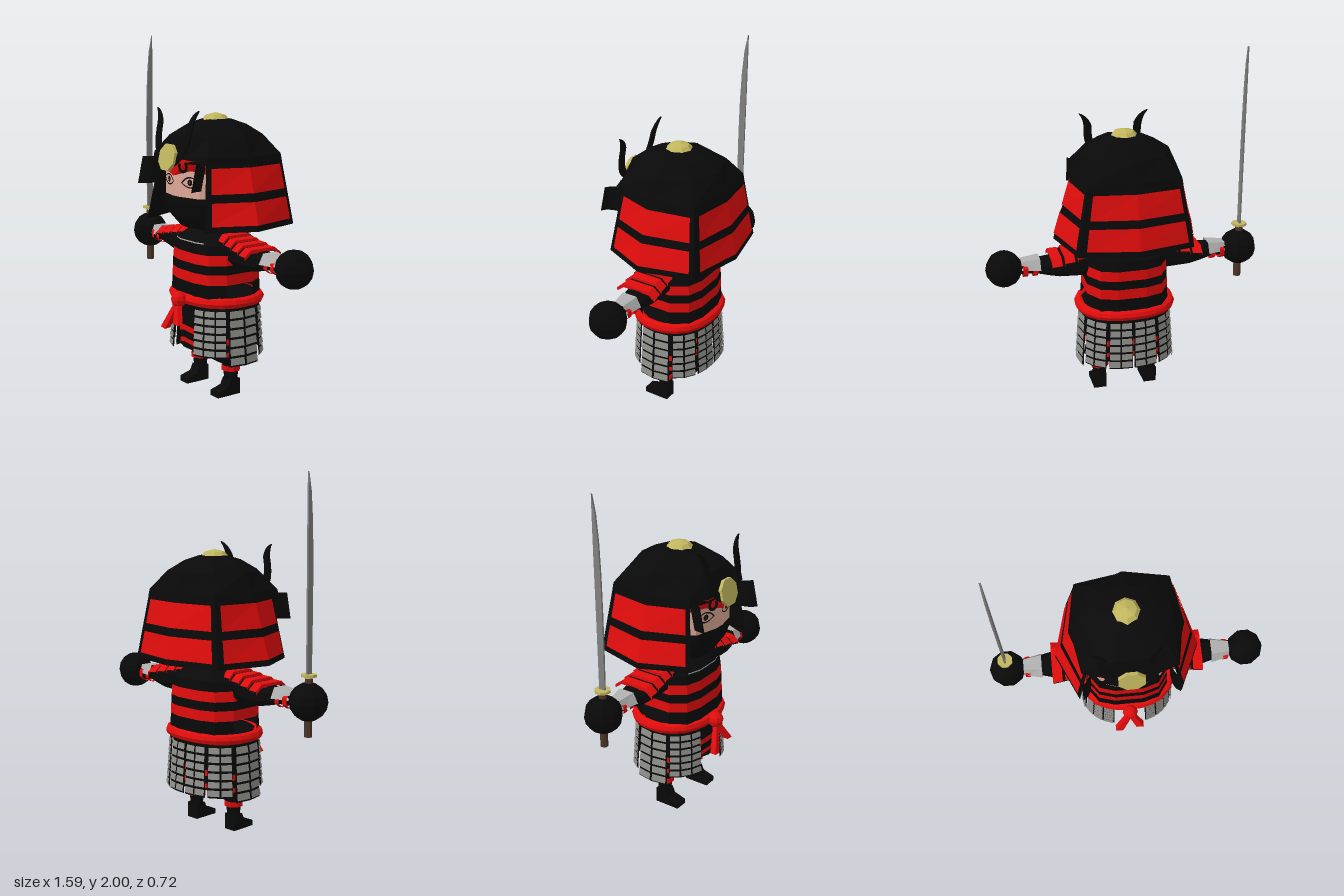
import * as THREE from 'three';
import { mergeGeometries } from 'three/addons/utils/BufferGeometryUtils.js';

const mat = (name, color) => new THREE.MeshStandardMaterial({ name, color, flatShading: true, side: THREE.DoubleSide });
const lerp = THREE.MathUtils.lerp;

// flat-faced skin between cross-sections of [x, y, z] points
function loft(rings, closed = false, skip = () => false) {
  const pos = [], n = rings[0].length;
  for (let r = 0; r < rings.length - 1; r++) {
    for (let i = 0; i < (closed ? n : n - 1); i++) {
      if (skip(r, i)) continue;
      const j = (i + 1) % n;
      const a = rings[r][i], b = rings[r][j], c = rings[r + 1][j], d = rings[r + 1][i];
      pos.push(...a, ...b, ...c, ...a, ...c, ...d);
    }
  }
  const g = new THREE.BufferGeometry();
  g.setAttribute('position', new THREE.Float32BufferAttribute(pos, 3));
  g.computeVertexNormals();
  return g;
}

// completes a front-to-back half outline [x, z] by mirroring
const outline = half => [...half, ...half.filter(p => p[0] > 0).reverse().map(([x, z]) => [-x, z])];
const ringAt = (pts, y, sx = 1, sz = sx) => pts.map(([x, z]) => [x * sx, y, z * sz]);

export function createModel() {
  const black = mat('black', 0x090909), red = mat('red', 0xe00c0c), steel = mat('plateSteel', 0x8c8c88);
  const silver = mat('armguardSilver', 0xb0b0b0), gold = mat('gold', 0xc2b65e), skin = mat('skin', 0xdda896);
  const blade = mat('bladeSteel', 0x808080), brown = mat('gripBrown', 0x4a3528);
  const model = new THREE.Group();
  const add = (name, geo, material, x = 0, y = 0, z = 0, parent = model) => {
    const m = new THREE.Mesh(geo, material);
    m.name = name;
    m.position.set(x, y, z);
    parent.add(m);
    return m;
  };
  const cyl = (rt, rb, h, n = 8) => new THREE.CylinderGeometry(rt, rb, h, n).rotateY(Math.PI / n);
  // side profile given as (z, y), extruded across x
  const sideExtrude = (shape, d) =>
    new THREE.ExtrudeGeometry(shape, { depth: d, bevelEnabled: false, curveSegments: 6 }).rotateY(-Math.PI / 2).translate(d / 2, 0, 0);

  // Cuirass: hollow bands, lowest one open at the sides
  const body = outline([[0.08, 0.207], [0.17, 0.18], [0.226, 0.1], [0.226, -0.07], [0.17, -0.16], [0.08, -0.19]]);
  const levels = [[0.55, 1.06], [0.652, 1.04], [0.71, 1.03], [0.76, 1.02], [0.817, 1], [0.87, 0.97], [0.935, 0.62]];
  for (let k = 0; k < levels.length - 1; k++) {
    const rings = [levels[k], levels[k + 1]].map(([y, s]) => ringAt(body, y, s));
    add('cuirassBand', loft(rings, true, (r, i) => k === 0 && (i === 2 || i === 8)), k === 1 || k === 3 ? red : black);
  }
  add('chestCord', loft([0.874, 0.881].map(y => [[-0.15, y, 0.174], [-0.075, y, 0.2], [0.075, y, 0.2], [0.13, y, 0.182]])), silver);
  add('neck', cyl(0.1, 0.14, 0.06), black, 0, 0.93, 0);

  // Belt with knot and tails
  const bulge = a => 1 + 0.05 * Math.sin(2 * a) ** 2;
  const loop = [];
  for (let i = 0; i < 16; i++) {
    const a = i / 16 * Math.PI * 2;
    loop.push(new THREE.Vector3(Math.sin(a) * 0.26 * bulge(a), 0.552, Math.cos(a) * 0.213 * bulge(a) + 0.007));
  }
  add('belt', new THREE.TubeGeometry(new THREE.CatmullRomCurve3(loop, true), 24, 0.03, 8, true), red);
  add('beltKnot', new THREE.SphereGeometry(0.046, 8, 6), red, 0, 0.553, 0.262);
  for (const [x, y] of [[-0.07, 0.385], [0.055, 0.43]]) {
    add('beltTail', loft([
      [[x - 0.022, y, 0.325], [x + 0.022, y - 0.005, 0.325], [x + 0.022, y, 0.29], [x - 0.022, y, 0.29]],
      [[-0.015, 0.54, 0.28], [0.015, 0.54, 0.28], [0.015, 0.54, 0.255], [-0.015, 0.54, 0.255]]], true), red);
  }

  // Skirt panels: black backing with rows of small overlapping plates
  const skirt = (deg, y, off = 0) => {
    const a = deg * Math.PI / 180, f = (0.53 - y) / 0.32, k = bulge(a);
    return [Math.sin(a) * (lerp(0.258, 0.28, f) * k + off), y, Math.cos(a) * (lerp(0.218, 0.237, f) * k + off) + 0.008];
  };
  function skirtPanel(t0, t1, cols, yLow) {
    const angles = Array.from({ length: cols + 1 }, (_, c) => lerp(t0, t1, c / cols));
    add('skirtBacking', loft([yLow - 0.005, 0.54].map(y => angles.map(a => skirt(a, y)))), black);
    const plates = [], rows = 6, h = (0.515 - yLow) / rows, gap = (t1 - t0) / cols * 0.07;
    for (let c = 0; c < cols; c++) for (let r = 0; r < rows; r++) {
      const y = yLow + r * h, a = angles[c] + gap, b = angles[c + 1] - gap;
      plates.push(loft([[y + 0.005, 0.002], [y + 0.007, 0.009], [y + h - 0.007, 0.005]].map(
        ([yy, o]) => [skirt(a, yy, o), skirt(b, yy, o)])));
    }
    add('skirtPlates', mergeGeometries(plates), steel);
  }
  for (const s of [1, -1]) {
    for (const [a, b, n, y] of [[20, 63, 3, 0.25], [66, 113, 2, 0.2], [117, 148, 2, 0.23], [151, 179, 2, 0.23]]) {
      if (s > 0) skirtPanel(a, b, n, y);
      else skirtPanel(-b, -a, n, y);
    }
  }

  // Legs: full trousers with chevron bands, thin calves and feet
  add('hips', cyl(0.252, 0.23, 0.1, 12).scale(1, 1, 0.82), black, 0, 0.53, 0.007);
  add('loincloth', new THREE.BoxGeometry(0.12, 0.27, 0.2), black, 0, 0.37, 0.01);
  const foot = new THREE.Shape([[-0.022, 0], [0.13, 0], [0.13, 0.03], [0.06, 0.05], [0.042, 0.09], [-0.022, 0.09]].map(p => new THREE.Vector2(...p)));
  const thigh = [[0, 0.14], [0.085, 0.11], [0.115, 0], [0.085, -0.11], [0, -0.14], [-0.085, -0.11], [-0.11, 0], [-0.085, 0.11]];
  const chevron = (y, k) => thigh.map(([x, z], i) => [x * k, y + (i % 4 === 0 ? 0.025 : 0), z * k]);
  for (const s of [1, -1]) {
    const leg = new THREE.Group();
    leg.name = s > 0 ? 'leftLeg' : 'rightLeg';
    model.add(leg);
    add('trouser', loft([ringAt(thigh, 0.225, 0.96), ringAt(thigh, 0.53, 1)], true), black, s * 0.115, 0, 0.01, leg);
    add('trouserHem', loft([chevron(0.235, 0.99), chevron(0.262, 0.995)], true), red, s * 0.115, 0, 0.01, leg);
    add('trouserStripe', loft([chevron(0.305, 1.01), chevron(0.34, 1.02)], true), red, s * 0.115, 0, 0.01, leg);
    add('kneeTaper', loft([ringAt(thigh, 0.175, 0.45, 0.37), ringAt(thigh, 0.225, 0.96)], true), black, s * 0.13, 0, 0.01, leg);
    add('calf', cyl(0.052, 0.036, 0.13), black, s * 0.15, 0.135, 0.012, leg);
    add('calfBand', cyl(0.056, 0.054, 0.028), red, s * 0.15, 0.152, 0.012, leg);
    add('foot', sideExtrude(foot, 0.075), black, s * 0.152, 0, 0, leg);
  }

  // Arms, shoulder plates and hands
  for (const s of [1, -1]) {
    const arm = new THREE.Group();
    arm.name = s > 0 ? 'leftArm' : 'rightArm';
    model.add(arm);
    const section = (x, y, ry, rz) => Array.from({ length: 8 }, (_, i) => {
      const a = (i + 0.5) / 8 * Math.PI * 2;
      return [s * x, y + Math.cos(a) * ry, 0.01 + Math.sin(a) * rz];
    });
    add('sleeve', loft([section(0.16, 0.83, 0.095, 0.09), section(0.38, 0.815, 0.068, 0.085),
      section(0.44, 0.815, 0.055, 0.075), section(0.5, 0.82, 0.045, 0.06)], true), black, 0, 0, 0, arm);
    add('wrist', loft([section(0.49, 0.82, 0.042, 0.055), section(0.62, 0.82, 0.04, 0.045)], true), black, 0, 0, 0, arm);
    const guard = (x, w, t) => [[x, 0.815, -w], [x, t, -w * 0.6], [x, t, w * 0.6], [x, 0.815, w]].map(([a, y, z]) => [s * a, y, z + 0.012]);
    add('forearmGuard', loft([guard(0.49, 0.074, 0.872), guard(0.595, 0.05, 0.862)]), silver, 0, 0, 0, arm);
    for (const x of [0.505, 0.56]) {
      add('forearmStrap', loft([section(x, 0.81, 0.047, 0.062), section(x + 0.028, 0.81, 0.046, 0.06)], true), red, 0, 0, 0, arm);
    }
    const arch = (x, lift) => {
      const f = (x - 0.15) / 0.285, y = lerp(0.935, 0.88, f) + lift, w = lerp(0.1, 0.125, f);
      return [[-w, y - 0.04], [-w * 0.65, y - 0.006], [w * 0.65, y - 0.006], [w, y - 0.04]].map(([z, yy]) => [s * x, yy, z + 0.012]);
    };
    add('shoulderBase', loft([arch(0.14, -0.006), arch(0.43, -0.006)]), black, 0, 0, 0, arm);
    for (let k = 0; k < 4; k++) {
      const x = 0.16 + k * 0.072;
      add('shoulderPlate', loft([arch(x, 0), arch(x + 0.056, 0.008), arch(x + 0.056, -0.012)]), red, 0, 0, 0, arm);
    }
    add('hand', new THREE.SphereGeometry(0.104, 10, 8), black, s * 0.689, 0.817, 0.012, arm);
  }

  // Sword in the right hand
  const sword = new THREE.Group();
  sword.name = 'sword';
  sword.position.set(-0.69, 0, 0.012);
  model.add(sword);
  add('grip', cyl(0.022, 0.022, 0.31), brown, 0, 0.785, 0, sword);
  add('swordGuard', cyl(0.044, 0.044, 0.014), gold, 0, 0.957, 0, sword);
  add('bladeCollar', cyl(0.018, 0.02, 0.03), gold, 0, 0.935, 0, sword);
  const edge = new THREE.Shape();
  edge.moveTo(-0.018, 0.96);
  edge.lineTo(0.018, 0.96);
  edge.bezierCurveTo(0.02, 1.4, 0.022, 1.86, -0.026, 2);
  edge.bezierCurveTo(-0.028, 1.8, -0.02, 1.4, -0.018, 0.96);
  add('blade', sideExtrude(edge, 0.01), blade, 0, 0, 0, sword);

  // Head: black mask and hood, skin on the front of the face
  const skull = outline([[0.03, 0.265], [0.165, 0.235], [0.222, 0.16], [0.222, -0.12], [0.12, -0.22]]);
  add('mask', loft([ringAt(skull, 0.935, 0.35, 0.5), ringAt(skull, 0.955, 0.6, 0.78), ringAt(skull, 1.02, 0.87, 0.95),
    ringAt(skull, 1.1, 1, 1.04), ringAt(skull, 1.135, 1.01, 1.04)], true), black);
  add('maskUnderside', cyl(0.14, 0.07, 0.03), black, 0, 0.945, 0.03);
  const isFace = i => i < 3 || i > 6;
  const headRings = [ringAt(skull, 1.12), ringAt(skull, 1.34)];
  add('face', loft(headRings, true, (r, i) => !isFace(i)), skin);
  add('hood', loft(headRings, true, (r, i) => isFace(i)), black);

  // Eyes: outline, iris and pupil on the sloping cheek facets
  const almond = (w, h) => {
    const p = new THREE.Shape();
    p.moveTo(-w, -0.004);
    p.quadraticCurveTo(-w * 0.2, h * 2, w, 0.012);
    p.quadraticCurveTo(w * 0.3, -h * 1.9, -w, -0.004);
    return p;
  };
  for (const s of [1, -1]) {
    const eye = new THREE.Group();
    eye.name = s > 0 ? 'leftEye' : 'rightEye';
    eye.position.set(s * 0.1, 1.215, 0.253);
    eye.rotation.y = s * 0.218;
    eye.scale.x = s;
    model.add(eye);
    const rim = almond(0.066, 0.032);
    rim.holes.push(almond(0.056, 0.024));
    add('eyeOutline', new THREE.ShapeGeometry(rim), black, 0, 0, 0, eye);
    add('iris', new THREE.CircleGeometry(0.018, 10), black, 0, 0.003, 0.001, eye);
    add('pupil', new THREE.CircleGeometry(0.007, 8), brown, 0, 0.003, 0.003, eye);
  }

  // Helmet bowl, squarer at the rim and rounder above, with a faceted boss on top
  const rim = outline([[0.13, 0.295], [0.26, 0.255], [0.305, 0], [0.265, -0.25], [0, -0.292]]);
  const crown = outline([[0.11, 0.285], [0.225, 0.19], [0.305, 0], [0.22, -0.2], [0, -0.275]]);
  add('helmetBowl', loft([ringAt(rim, 1.325), ringAt(rim, 1.36, 0.98), ringAt(crown, 1.465, 0.82, 0.9),
    ringAt(crown, 1.52, 0.54, 0.56), ringAt(crown, 1.547, 0.3, 0.25), ringAt(crown, 1.55, 0.01)], true), black);
  add('topBoss', new THREE.LatheGeometry([[0.08, 1.54], [0.055, 1.568], [0, 1.582]].map(p => new THREE.Vector2(...p)), 8), gold, 0, 0, 0.01);

  // Flared neck guard with red lamellae between black posts
  const upper = outline([[0.225, 0.235], [0.3, 0.01], [0.26, -0.25], [0, -0.285]]);
  const lower = outline([[0.285, 0.285], [0.405, 0.02], [0.322, -0.29], [0, -0.36]]);
  const guardAt = (y, k = 1) => upper.map(([x, z], i) => {
    const f = (1.335 - y) / 0.365;
    return [lerp(x, lower[i][0], f) * k, y, lerp(z, lower[i][1], f) * k];
  });
  add('neckGuard', loft([0.97, 1.003, 1.125, 1.17, 1.305, 1.335].map(y => guardAt(y))), black);
  const mix = (a, b, f) => a.map((v, i) => lerp(v, b[i], f));
  for (const i of [0, 2, 4]) for (const [y0, y1] of [[1.003, 1.125], [1.17, 1.305]]) {
    const rings = [y0, y1].map(y => {
      const [a, b, c] = guardAt(y, 1.016).slice(i, i + 3);
      return [mix(a, b, 0.13), b, mix(c, b, 0.1)];
    });
    add('neckGuardLamella', loft(rings), red);
  }

  // Red brow plate, side wings, horns, curls and front disc
  const browHalf = [[0.215, 1.265, 0.2], [0.13, 1.285, 0.268], [0, 1.25, 0.295]];
  const mirrored = half => [...half.map(([x, y, z]) => [-x, y, z]), ...half.slice(0, -1).reverse()];
  add('brow', loft([mirrored(browHalf), mirrored([[0.235, 1.345, 0.245], [0.14, 1.345, 0.297], [0, 1.35, 0.3]])]), red);
  const crest = new THREE.Group();
  crest.name = 'crest';
  crest.position.set(0, 1.352, 0.328);
  crest.rotation.x = -0.22;
  model.add(crest);
  add('crestDisc', cyl(0.078, 0.078, 0.02).rotateX(Math.PI / 2), gold, 0, 0, 0, crest);
  for (const s of [1, -1]) {
    const wing = (y, f) => [[0.213, 0.25], [0.22, 0.3], [0.235, 0.33], [0.262, 0.35]].map(([x, z]) => [s * x, y, z + f]);
    add('sideWing', loft([wing(1.185, 0.008), wing(1.335, -0.025)]), black);
    const horn = new THREE.Shape();
    horn.moveTo(s * 0.04, -0.01);
    horn.quadraticCurveTo(s * 0.125, 0.04, s * 0.125, 0.19);
    horn.quadraticCurveTo(s * 0.15, 0.25, s * 0.2, 0.265);
    horn.quadraticCurveTo(s * 0.165, 0.22, s * 0.168, 0.15);
    horn.quadraticCurveTo(s * 0.165, 0, s * 0.04, -0.05);
    add('horn', new THREE.ExtrudeGeometry(horn, { depth: 0.01, bevelEnabled: false, curveSegments: 6 }), black, 0, 0, -0.015, crest);
    const curl = add('browCurl', new THREE.TorusGeometry(0.026, 0.009, 4, 10, 4.6), black, s * 0.115, 1.31, 0.308);
    curl.rotation.set(0, s * 0.25, s > 0 ? 2.6 : -4.1);
  }
  return model;
}
